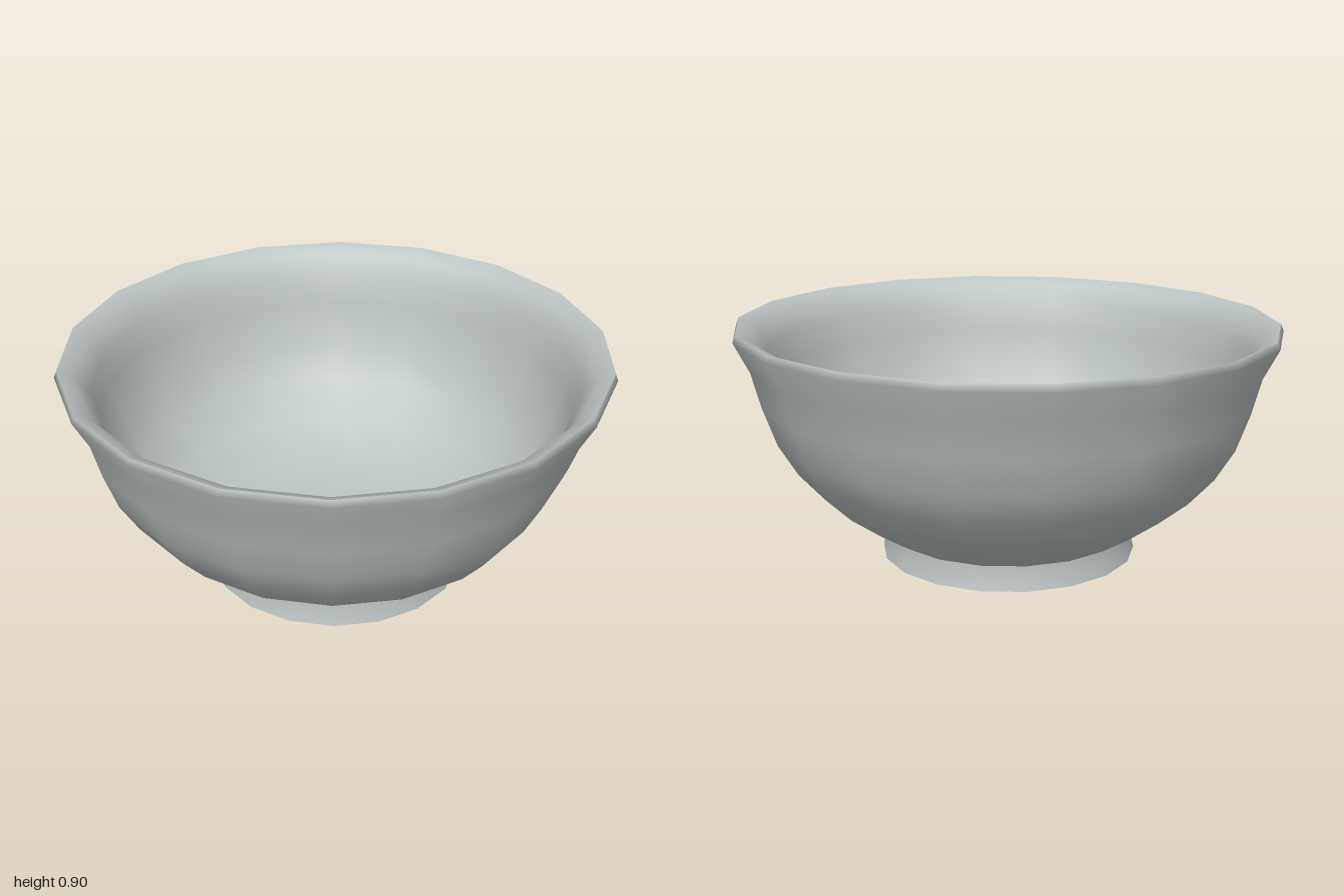
import * as THREE from 'three';

const SIDES = 18;

export function createModel() {
  const group = new THREE.Group();
  const glaze = new THREE.MeshStandardMaterial({ color: 0xbcc3c3 });
  glaze.name = 'pale grey glaze';

  // Turns a profile of [radius, height] points, with the rim slightly higher at the back left.
  // dent pushes a soft hollow into the front left of the wall.
  function turned(name, profile, dent = 0) {
    const geometry = new THREE.LatheGeometry(profile.map(([r, y]) => new THREE.Vector2(r, y)), SIDES);
    const p = geometry.attributes.position;
    for (let i = 0; i < p.count; i++) {
      const x = p.getX(i), y = p.getY(i), z = p.getZ(i);
      const lift = (y / 0.88) ** 2 * (0.008 * x - 0.014 * z);
      const turn = Math.abs(Math.atan2(x, z) - 0.7) / 0.4;
      const rise = Math.abs(y - 0.46) / 0.3;
      const push = 1 - dent * Math.max(0, 1 - turn) * Math.max(0, 1 - rise);
      p.setXYZ(i, x * push, y + lift, z * push);
    }
    if (dent) {
      // Smooth normals again, then rejoin them across the seam
      geometry.computeVertexNormals();
      const n = geometry.attributes.normal, rows = profile.length, last = SIDES * rows;
      for (let j = 0; j < rows; j++) {
        const a = new THREE.Vector3().fromBufferAttribute(n, j);
        a.add(new THREE.Vector3().fromBufferAttribute(n, last + j)).normalize();
        n.setXYZ(j, a.x, a.y, a.z);
        n.setXYZ(last + j, a.x, a.y, a.z);
      }
    }
    const mesh = new THREE.Mesh(geometry, glaze);
    mesh.name = name;
    group.add(mesh);
  }

  // Thin hollow foot ring: domed recess, standing edge and waisted outer face
  turned('footRecess', [[0, 0.1], [0.22, 0.095], [0.37, 0.075], [0.43, 0.008]]);
  turned('footEdge', [[0.43, 0.008], [0.45, 0], [0.475, 0.01]]);
  turned('footOuterFace', [[0.475, 0.01], [0.462, 0.06], [0.46, 0.1]]);

  // Outer wall, faceted out to the rim
  turned('outerWall', [
    [0.46, 0.1], [0.57, 0.17], [0.695, 0.26], [0.79, 0.365], [0.86, 0.48],
    [0.91, 0.62], [0.945, 0.75], [1.0, 0.855], [0.99, 0.88],
  ], 0.035);

  // Wide lip sloping in, then the steep inside wall and rounded floor
  turned('lipAndInside', [
    [0.99, 0.88], [0.935, 0.855], [0.88, 0.78], [0.865, 0.67], [0.815, 0.5],
    [0.745, 0.38], [0.635, 0.265], [0.46, 0.175], [0.24, 0.14], [0, 0.13],
  ]);

  return group;
}
